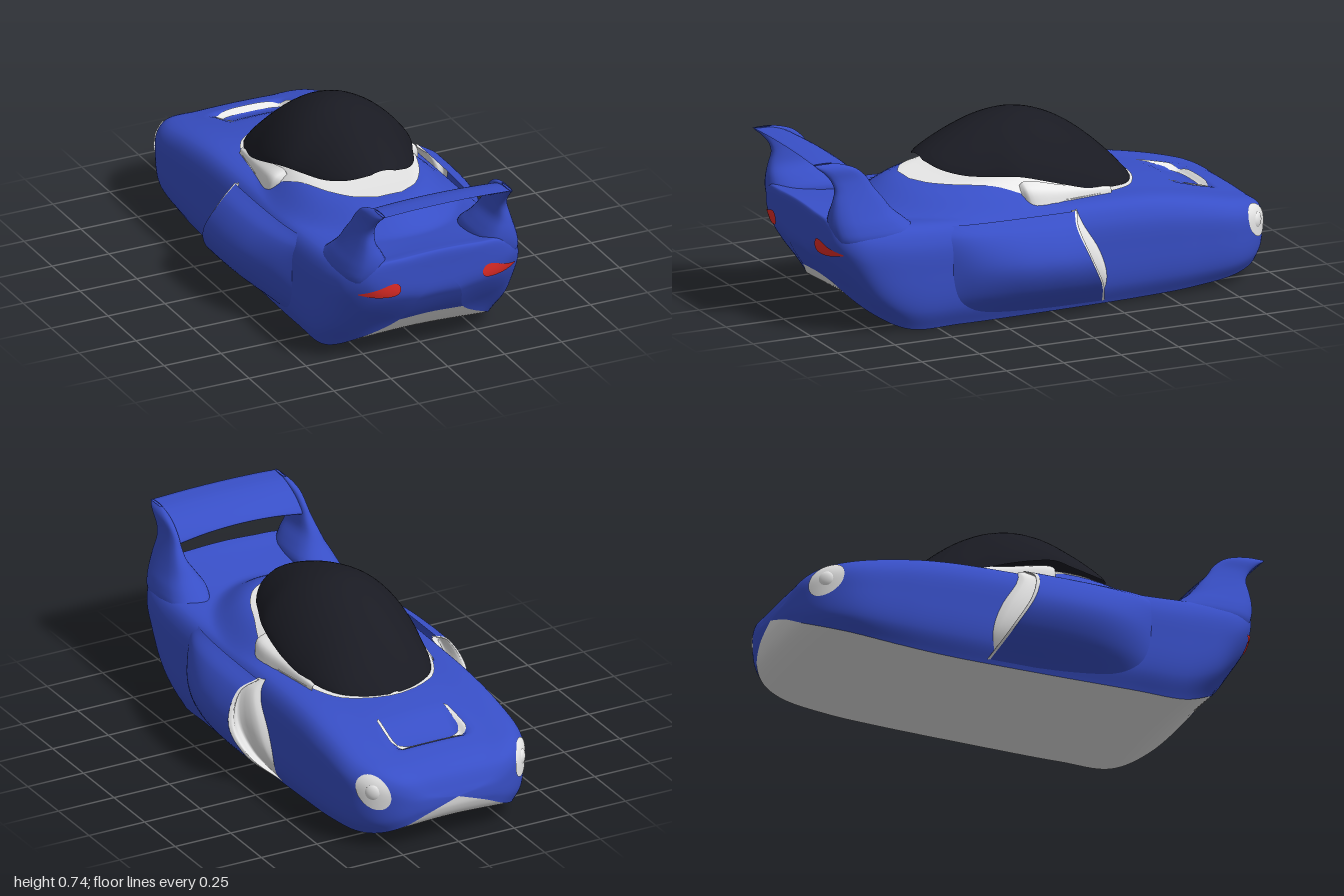
import * as THREE from 'three';
import { mergeVertices } from 'three/addons/utils/BufferGeometryUtils.js';

const material = (name, color) =>
  Object.assign(new THREE.MeshStandardMaterial({ color, side: THREE.DoubleSide }), { name });

// Smooth surface through rows of control points [x, y, z]
function patch(rows, nu, nv, v0 = 0, v1 = 1) {
  const curve = (pts) => new THREE.CatmullRomCurve3(pts);
  const columns = rows[0].map((_, j) => curve(rows.map((r) => new THREE.Vector3(...r[j]))));
  const pos = [], index = [];
  for (let i = 0; i <= nv; i++) {
    const section = curve(columns.map((c) => c.getPoint(v0 + ((v1 - v0) * i) / nv)));
    for (let j = 0; j <= nu; j++) {
      pos.push(...section.getPoint(j / nu).toArray());
      if (i < nv && j < nu) {
        const a = i * (nu + 1) + j, b = a + nu + 1;
        index.push(a, b, a + 1, a + 1, b, b + 1);
      }
    }
  }
  const flat = new THREE.BufferGeometry();
  flat.setAttribute('position', new THREE.Float32BufferAttribute(pos, 3));
  flat.setIndex(index);
  const geo = mergeVertices(flat, 1e-5);
  geo.computeVertexNormals();
  return geo;
}

const mirrorRows = (rows) => rows.map((r) => r.map(([x, y, z]) => [-x, y, z]).reverse());

export function createModel() {
  const car = new THREE.Group();
  car.name = 'car';
  const blue = material('blue paint', 0x384fc6);
  const white = material('light grey trim', 0xeeeeee);
  const black = material('black glass', 0x1a1b23);
  const red = material('red lamp', 0xf4302a);

  const add = (name, geo, mat) => {
    const mesh = new THREE.Mesh(geo, mat);
    mesh.name = name;
    car.add(mesh);
    return mesh;
  };
  const addPair = (name, rows, nu, nv, mat) => {
    add('left' + name, patch(rows, nu, nv), mat);
    add('right' + name, patch(mirrorRows(rows), nu, nv), mat);
  };

  // Body stations: z, underside half width, underside y, half width, shoulder y, deck y
  const stations = [
    [-1, 0, 0.2, 0, 0.2, 0.2],
    [-0.99, 0.13, 0.15, 0.175, 0.225, 0.23],
    [-0.96, 0.225, 0.1, 0.268, 0.285, 0.29],
    [-0.9, 0.295, 0.065, 0.342, 0.32, 0.33],
    [-0.8, 0.34, 0.04, 0.395, 0.345, 0.36],
    [-0.6, 0.355, 0.018, 0.41, 0.385, 0.405],
    [-0.4, 0.355, 0.008, 0.41, 0.41, 0.43],
    [0, 0.36, 0.003, 0.41, 0.42, 0.43],
    [0.4, 0.365, 0.003, 0.415, 0.42, 0.42],
    [0.62, 0.355, 0.008, 0.415, 0.43, 0.43],
    [0.75, 0.29, 0.07, 0.405, 0.44, 0.45],
    [0.85, 0.14, 0.17, 0.38, 0.45, 0.47],
    [0.92, 0.1, 0.27, 0.325, 0.47, 0.485],
    [0.94, 0.08, 0.31, 0.275, 0.47, 0.485],
    [0.945, 0, 0.4, 0, 0.4, 0.4],
  ];
  const shell = stations.map(([z, wb, yb, w, ys, yc]) => {
    const h = ys - yb;
    const half = [
      [w * 0.5, ys * 0.35 + yc * 0.65, z], [w * 0.88, ys, z], [w * 0.985, yb + h * 0.85, z],
      [w, yb + h * 0.55, z], [wb + (w - wb) * 0.75, yb + h * 0.2, z], [wb, yb, z],
    ];
    return [...mirrorRows([half])[0], [0, yc, z], ...half];
  });
  const bodyGeo = patch(shell, 108, 112);
  // Raised collar around the cockpit, and a vent sunk into the bonnet
  const p = bodyGeo.attributes.position, step = THREE.MathUtils.smoothstep;
  for (let i = 0; i < p.count; i++) {
    const x = p.getX(i), y = p.getY(i), z = p.getZ(i);
    if (y < 0.3) continue;
    const r = (x / 0.37) ** 2 + ((z - 0.2) / 0.5) ** 2;
    const collar = y > 0.34 ? 0.1 * step(1 - r, 0, 0.7) : 0;
    const vent = 0.03 * step(0.17 - Math.abs(x), 0, 0.035) * step(z, -0.81, -0.775) * (1 - step(z, -0.76, -0.6));
    p.setY(i, y + collar - vent);
  }
  bodyGeo.computeVertexNormals();
  const body = add('body', bodyGeo, blue);

  // Slightly arched underside, blue where it climbs the tail
  const floor = stations.map(([z, wb, yb]) => [[wb, yb, z], [0, yb + 0.04 * wb, z], [-wb, yb, z]]);
  add('underside', patch(floor, 16, 88, 0, 11 / 14), white);
  add('tailUnderside', patch(floor, 16, 24, 11 / 14, 1), blue);

  // Lays a flat patch onto the body along a direction
  const ray = new THREE.Raycaster();
  const decal = (name, rows, nu, nv, dir, mat, lift = 0.005) => {
    const geo = patch(rows, nu, nv), a = geo.attributes.position;
    const d = new THREE.Vector3(...dir).normalize(), v = new THREE.Vector3();
    for (let i = 0; i < a.count; i++) {
      v.fromBufferAttribute(a, i);
      ray.set(v.clone().addScaledVector(d, -2), d);
      const hit = ray.intersectObject(body)[0];
      if (hit) v.copy(hit.point).addScaledVector(d, -lift);
      a.setXYZ(i, v.x, v.y, v.z);
    }
    geo.computeVertexNormals();
    return add(name, geo, mat);
  };

  // Canopy stations: z, half width, edge y, top y
  const glass = [
    [-0.48, 0.02, 0.43, 0.436], [-0.46, 0.1, 0.43, 0.455], [-0.4, 0.2, 0.435, 0.52],
    [-0.3, 0.255, 0.445, 0.61], [-0.2, 0.28, 0.46, 0.68], [-0.1, 0.295, 0.49, 0.725],
    [0, 0.295, 0.52, 0.744], [0.1, 0.28, 0.545, 0.735], [0.2, 0.24, 0.548, 0.71],
    [0.3, 0.195, 0.553, 0.67], [0.38, 0.13, 0.572, 0.63], [0.42, 0.05, 0.595, 0.605],
  ];
  const arch = glass.map(([z, w, e, t]) =>
    Array.from({ length: 13 }, (_, i) => {
      const a = Math.PI * (1 - i / 12);
      return [w * Math.cos(a), e + (t - e) * Math.abs(Math.sin(a)) ** 1.6, z];
    }));
  add('canopy', patch(arch, 36, 44), black);
  const pan = glass.map(([z, w]) => {
    const zz = z * 1.02 + (z > 0 ? 0.05 * (z / 0.42) ** 2 : 0), x = w * 1.03 + 0.004;
    return [[-x, 1, zz], [0, 1, zz], [x, 1, zz]];
  });
  decal('cockpitFloor', pan, 24, 40, [0, -1, 0], white, 0.006);

  // Vents beside the canopy
  addPair('CanopyVent', [
    [[0.26, 0.45, -0.3], [0.27, 0.445, -0.3], [0.275, 0.425, -0.3]],
    [[0.275, 0.485, -0.1], [0.297, 0.465, -0.1], [0.308, 0.42, -0.1]],
    [[0.265, 0.52, 0.08], [0.315, 0.495, 0.08], [0.332, 0.42, 0.06]],
    [[0.26, 0.5, 0.1], [0.29, 0.48, 0.1], [0.3, 0.42, 0.09]],
  ], 12, 16, white);

  // Side pods: base x, y, bulge, front z, from top to bottom
  const podProfile = [
    [0.375, 0.415, 0.2, -0.08], [0.402, 0.37, 0.56, -0.055], [0.405, 0.25, 1, -0.09],
    [0.395, 0.13, 0.75, -0.155], [0.355, 0.02, 0.1, -0.215],
  ];
  const pod = [1, 1, 0.87, 0.47, -0.2].map((taper, i) =>
    podProfile.map(([x, y, b, z]) =>
      [x + 0.13 * b * taper - (i === 4 ? 0.015 : 0), y, z + (0.53 - z) * (i / 4)]));
  addPair('SidePod', pod, 28, 28, blue);
  // Intake mouth, sunk between pod and body
  const intake = [[0, 0.13, 0], [0.012, 0.115, -0.012], [0.04, 0.07, 0.03], [-0.06, 0.035, 0], [-0.1, -0.005, 0]];
  addPair('SideIntake', intake.map(([dz, k], i) =>
    podProfile.map(([x, y, b, z]) =>
      [x + k * b, y, i < 2 ? z - dz : z + dz * b])).reverse(), 24, 16, white);

  // Tail fins: y, inner x, outer x, front z, rear z
  const fin = [
    [0.33, 0.25, 0.34, 0.56, 0.89], [0.4, 0.22, 0.385, 0.56, 0.92], [0.45, 0.2, 0.376, 0.61, 0.935],
    [0.5, 0.225, 0.355, 0.67, 0.935], [0.55, 0.257, 0.335, 0.71, 0.925], [0.6, 0.267, 0.318, 0.75, 0.915],
    [0.64, 0.27, 0.308, 0.775, 0.93], [0.68, 0.27, 0.305, 0.82, 0.965], [0.7, 0.27, 0.297, 0.87, 0.99],
    [0.712, 0.272, 0.285, 0.92, 1],
  ].map(([y, xi, xo, zf, zr]) =>
    Array.from({ length: 17 }, (_, i) => {
      const a = (i / 16) * Math.PI * 2;
      const round = (c) => Math.sign(c) * Math.abs(c) ** 0.75;
      return [(xi + xo) / 2 + (round(Math.cos(a)) * (xo - xi)) / 2, y,
        (zf + zr) / 2 + (round(Math.sin(a)) * (zr - zf)) / 2];
    }));
  addPair('TailFin', fin, 32, 36, blue);

  // Spoiler blade between the fins, arched along its lower edge: profile of z, y, arch
  const blade = [
    [1, 0.71, 0.008], [0.91, 0.703, 0.008], [0.83, 0.668, 0.012], [0.775, 0.612, 0.024],
    [0.79, 0.603, 0.028], [0.88, 0.645, 0.015], [0.95, 0.682, 0.01], [1, 0.71, 0.008],
  ];
  add('spoilerBlade', patch([-0.285, -0.15, 0, 0.15, 0.285].map((x) =>
    blade.map(([z, y, rise]) => [x, y + rise * (1 - (x / 0.285) ** 2), z])), 40, 16), blue);

  for (const s of [1, -1]) {
    const side = s > 0 ? 'left' : 'right';
    // Tail lights: x, low y, high y
    const lamp = [[0.18, 0.345, 0.362], [0.19, 0.332, 0.378], [0.21, 0.325, 0.385], [0.28, 0.328, 0.366], [0.345, 0.342, 0.346]]
      .map(([x, lo, hi]) => [[s * x, lo, 0], [s * x, (lo + hi) / 2, 0], [s * x, hi, 0]]);
    decal(side + 'TailLight', s > 0 ? lamp : lamp.reverse(), 8, 16, [0, 0, -1], red);

    // Headlight surround on the nose corner, with a round lens
    const c = [s * 0.328, 0.252, -0.9];
    const ring = [0, 1].map((r) => Array.from({ length: 17 }, (_, i) => {
      const a = (s * i / 16) * Math.PI * 2, u = Math.cos(a) * 0.075 * r, v = Math.sin(a) * 0.07 * r;
      return [c[0] + s * u * 0.75, c[1] + v + u * 0.25, c[2] + u * 0.66];
    }));
    const mount = decal(side + 'HeadlightSurround', ring, 32, 8, [-s * 0.66, -0.2, 0.75], white);
    mount.geometry.computeBoundingBox();
    const lens = add(side + 'HeadlightLens', new THREE.SphereGeometry(0.036, 24, 16), white);
    mount.geometry.boundingBox.getCenter(lens.position);
    lens.scale.z = 0.5;
    lens.rotation.y = (s * 3 * Math.PI) / 4;
  }

  // Walls of the bonnet vent: x, z, strip width
  const half = [[0.158, -0.62, 0.016], [0.165, -0.7, 0.022], [0.163, -0.765, 0.026], [0.11, -0.795, 0.026]];
  const path = [...half.map(([x, z, w]) => [-x, z, w]), [0, -0.803, 0.026], ...half.slice().reverse()];
  decal('bonnetVentTrim', path.map(([x, z, w]) =>
    [[x, 1, z], [x * (1 - w * 2.5), 1, z + w * 0.5], [x * (1 - w * 5), 1, z + w]]), 4, 40, [0, -1, 0], white);

  return car;
}
